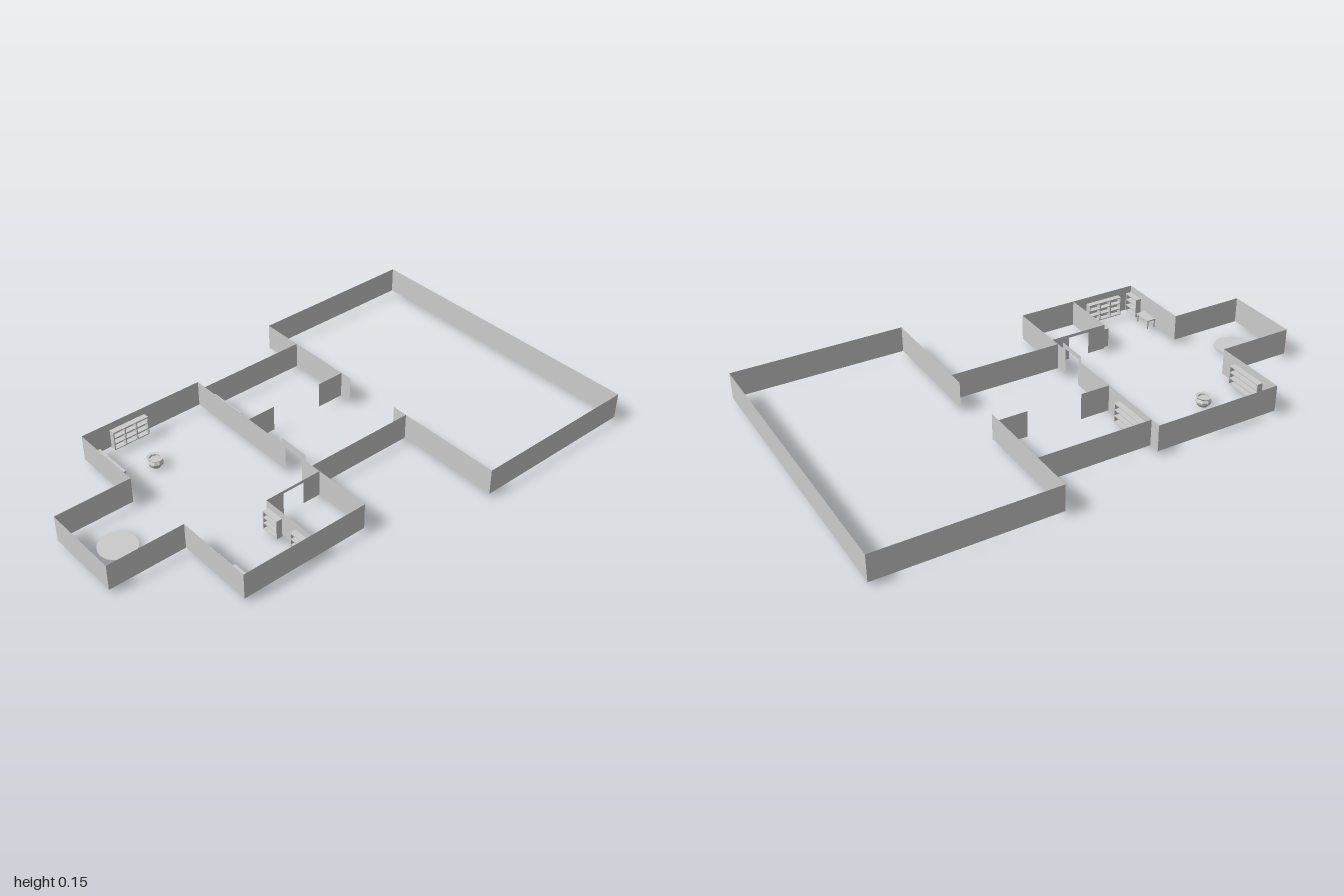
import * as THREE from 'three';

const FLOOR = 0.02, TOP = 0.127;
const material = new THREE.MeshStandardMaterial({ color: 0xcccccc, flatShading: true, side: THREE.DoubleSide });

function add(parent, name, geometry, x = 0, y = 0, z = 0) {
  const mesh = new THREE.Mesh(geometry, material);
  mesh.name = name;
  mesh.position.set(x, y, z);
  parent.add(mesh);
  return mesh;
}

// Thin upright wall from (x1, z1) to (x2, z2); door = [start, end, height of opening]
function wall(parent, name, [x1, z1, x2, z2], top = TOP, door = null) {
  const length = Math.hypot(x2 - x1, z2 - z1);
  const s = new THREE.Shape();
  s.moveTo(0, FLOOR);
  if (door) {
    const [a, b, h] = door;
    s.lineTo(a, FLOOR).lineTo(a, h).lineTo(b, h).lineTo(b, FLOOR);
  }
  s.lineTo(length, FLOOR).lineTo(length, top).lineTo(0, top).closePath();
  const mesh = add(parent, name, new THREE.ShapeGeometry(s), x1, 0, z1);
  mesh.rotation.y = Math.atan2(z1 - z2, x2 - x1);
}

// Open shelving unit whose back stands at local z = 0 and which faces +z
function shelf(parent, name, x, z, turn, width, columns, depth = 0.024, height = 0.08) {
  const unit = new THREE.Group();
  unit.name = name;
  const t = 0.004, rows = 3;
  add(unit, 'shelfBack', new THREE.BoxGeometry(width, height, 0.002), 0, height / 2, 0.001);
  for (let i = 0; i <= rows; i++) {
    const y = t / 2 + (height - t) * i / rows;
    add(unit, 'shelfBoard', new THREE.BoxGeometry(width, t, depth), 0, y, depth / 2);
  }
  for (let i = 0; i <= columns; i++) {
    const px = (width - t) * (i / columns - 0.5);
    add(unit, 'shelfUpright', new THREE.BoxGeometry(t, height, depth), px, height / 2, depth / 2);
  }
  unit.position.set(x, FLOOR, z);
  unit.rotation.y = turn;
  parent.add(unit);
}

export function createModel() {
  const model = new THREE.Group();
  model.name = 'floorPlan';

  // Outer and inner walls, each as x1, z1, x2, z2
  const walls = {
    alcoveWall: [
      [-0.69, -0.175, -1, -0.175], [-1, -0.175, -1, 0.14], [-1, 0.14, -0.69, 0.14],
    ],
    mainRoomWall: [
      [-0.69, -0.175, -0.69, -0.49], [-0.69, -0.49, -0.165, -0.49], [-0.165, -0.49, -0.165, 0.018],
      [-0.165, 0.148, -0.165, 0.46], [-0.165, 0.46, -0.69, 0.46], [-0.69, 0.46, -0.69, 0.14],
    ],
    closetWall: [[-0.405, 0.225, -0.405, 0.46]],
    corridorWall: [
      [-0.165, -0.445, 0.295, -0.445], [-0.165, 0.185, 0.295, 0.185],
      [-0.165, -0.175, -0.045, -0.175], [0.18, -0.175, 0.295, -0.175],
    ],
    hallWall: [
      [0.295, -0.125, 0.295, -0.622], [0.295, -0.622, 0.997, -0.622], [0.997, -0.622, 0.997, 0.618],
      [0.997, 0.618, 0.295, 0.618], [0.295, 0.618, 0.295, 0.12],
    ],
  };
  for (const [name, list] of Object.entries(walls)) {
    for (const line of list) wall(model, name, line);
  }

  // Tall door frame and the closet wall with its doorway
  wall(model, 'doorFrame', [-0.165, 0.018, -0.165, 0.148], 0.153, [0.018, 0.112, 0.132]);
  wall(model, 'closetDoorWall', [-0.405, 0.225, -0.165, 0.225], TOP, [0.075, 0.165, 0.115]);

  // Shelving along the walls
  const q = Math.PI / 2;
  shelf(model, 'backShelf', -0.4975, -0.486, 0, 0.155, 3);
  shelf(model, 'sideShelf', -0.687, -0.332, q, 0.165, 1);
  shelf(model, 'corridorShelf', -0.163, -0.332, q, 0.165, 1);
  shelf(model, 'frontShelf', -0.547, 0.458, 2 * q, 0.155, 3);
  shelf(model, 'cornerShelf', -0.687, 0.418, q, 0.075, 1);
  shelf(model, 'closetShelf', -0.407, 0.418, -q, 0.075, 1);
  shelf(model, 'closetShelf', -0.407, 0.272, -q, 0.075, 1);

  // Small table
  const table = new THREE.Group();
  table.name = 'table';
  add(table, 'tableTop', new THREE.BoxGeometry(0.04, 0.005, 0.08), 0, 0.035, 0);
  for (const sx of [-1, 1]) for (const sz of [-1, 1]) {
    add(table, 'tableLeg', new THREE.BoxGeometry(0.005, 0.033, 0.005), sx * 0.016, 0.0165, sz * 0.036);
  }
  table.position.set(-0.666, FLOOR, 0.31);
  model.add(table);

  // Round floor disc in the alcove
  add(model, 'floorDisc', new THREE.CylinderGeometry(0.072, 0.072, 0.003, 40), -0.86, 0.0195, -0.018);

  // Faceted cauldron, open at the top
  const profile = [[0, 0], [0.012, 0], [0.021, 0.007], [0.029, 0.018], [0.031, 0.027], [0.025, 0.038],
    [0.032, 0.045], [0.022, 0.043], [0.021, 0.036], [0, 0.036]];
  add(model, 'cauldron', new THREE.LatheGeometry(profile.map(([r, y]) => new THREE.Vector2(r, y)), 8), -0.503, 0, -0.305);

  return model;
}
